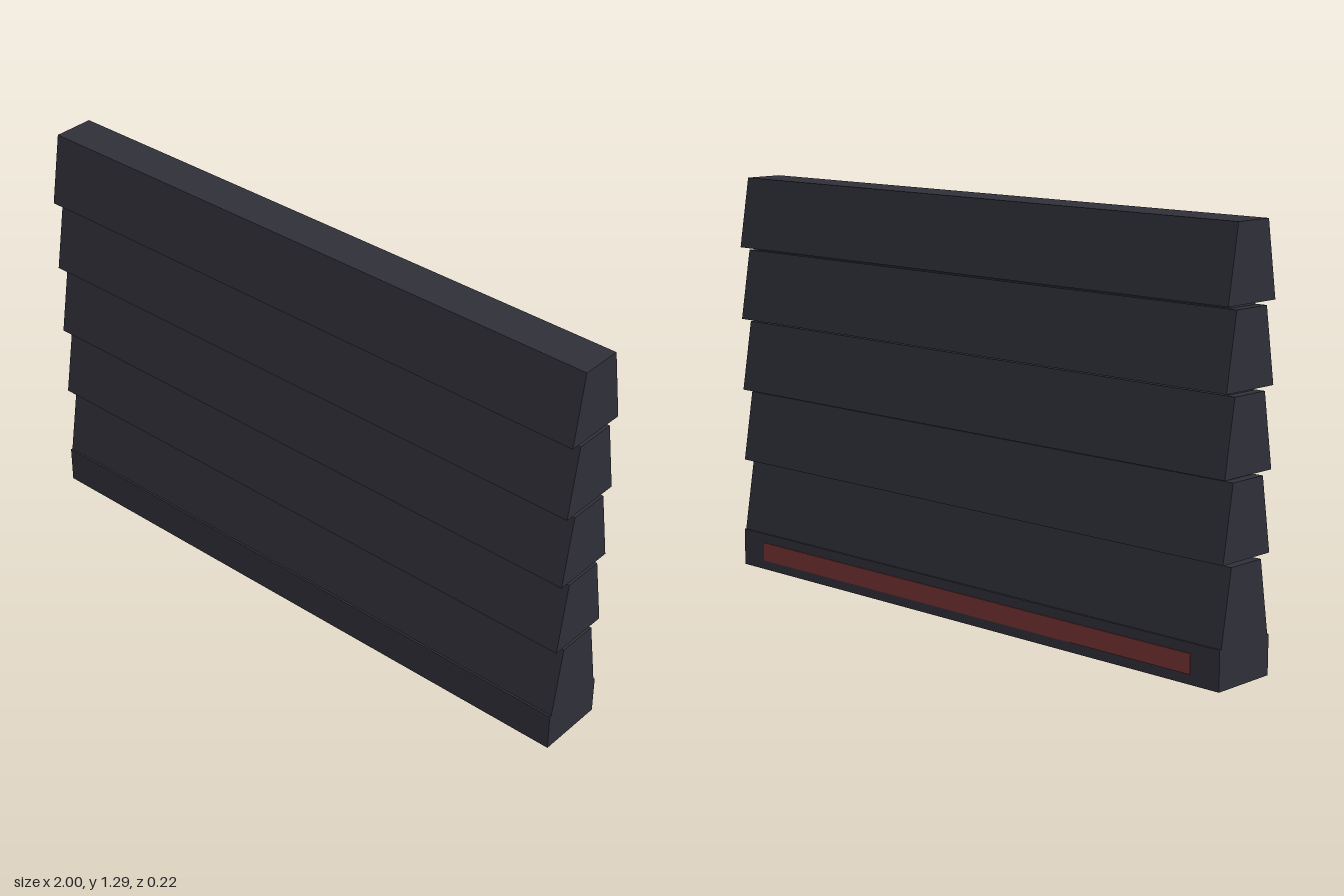
import * as THREE from 'three';

const WIDTH = 2;
const Z = 0.0015; // small shift that balances the plate on the back

// Bar running along x, with its z-y section tapering upward
function taperedBar(bottomHalf, topHalf, height) {
  const geo = new THREE.BoxGeometry(WIDTH, height, bottomHalf * 2);
  const pos = geo.attributes.position;
  for (let i = 0; i < pos.count; i++) {
    if (pos.getY(i) > 0) pos.setZ(i, Math.sign(pos.getZ(i)) * topHalf);
  }
  geo.translate(0, height / 2, 0);
  geo.computeVertexNormals();
  return geo;
}

export function createModel() {
  const model = new THREE.Group();
  model.name = 'slattedBarrier';

  const charcoal = new THREE.MeshStandardMaterial({ color: 0x2f2f38 });
  charcoal.name = 'charcoal';
  const red = new THREE.MeshStandardMaterial({ color: 0x743232 });
  red.name = 'dull red';

  const add = (name, geo, mat, y, z = Z) => {
    const mesh = new THREE.Mesh(geo, mat);
    mesh.name = name;
    mesh.position.set(0, y, z);
    model.add(mesh);
  };

  // Base plinth
  add('base', new THREE.BoxGeometry(WIDTH, 0.12, 0.22), charcoal, 0.06);

  // Five stacked tapered slats, with a recessed spacer under each upper one
  const pitch = 0.2355, slatHeight = 0.224;
  const slat = taperedBar(0.1035, 0.066, slatHeight);
  const spacer = new THREE.BoxGeometry(1.94, pitch - slatHeight, 0.105);
  for (let i = 0; i < 5; i++) {
    const y = 0.12 + i * pitch;
    add('slat' + (i + 1), slat, charcoal, y);
    if (i > 0) add('spacer' + i, spacer, charcoal, y - (pitch - slatHeight) / 2);
  }

  // Thin red strip on the back of the base
  add('rearStrip', new THREE.BoxGeometry(1.8, 0.06, 0.006), red, 0.06, -0.1085);

  return model;
}
